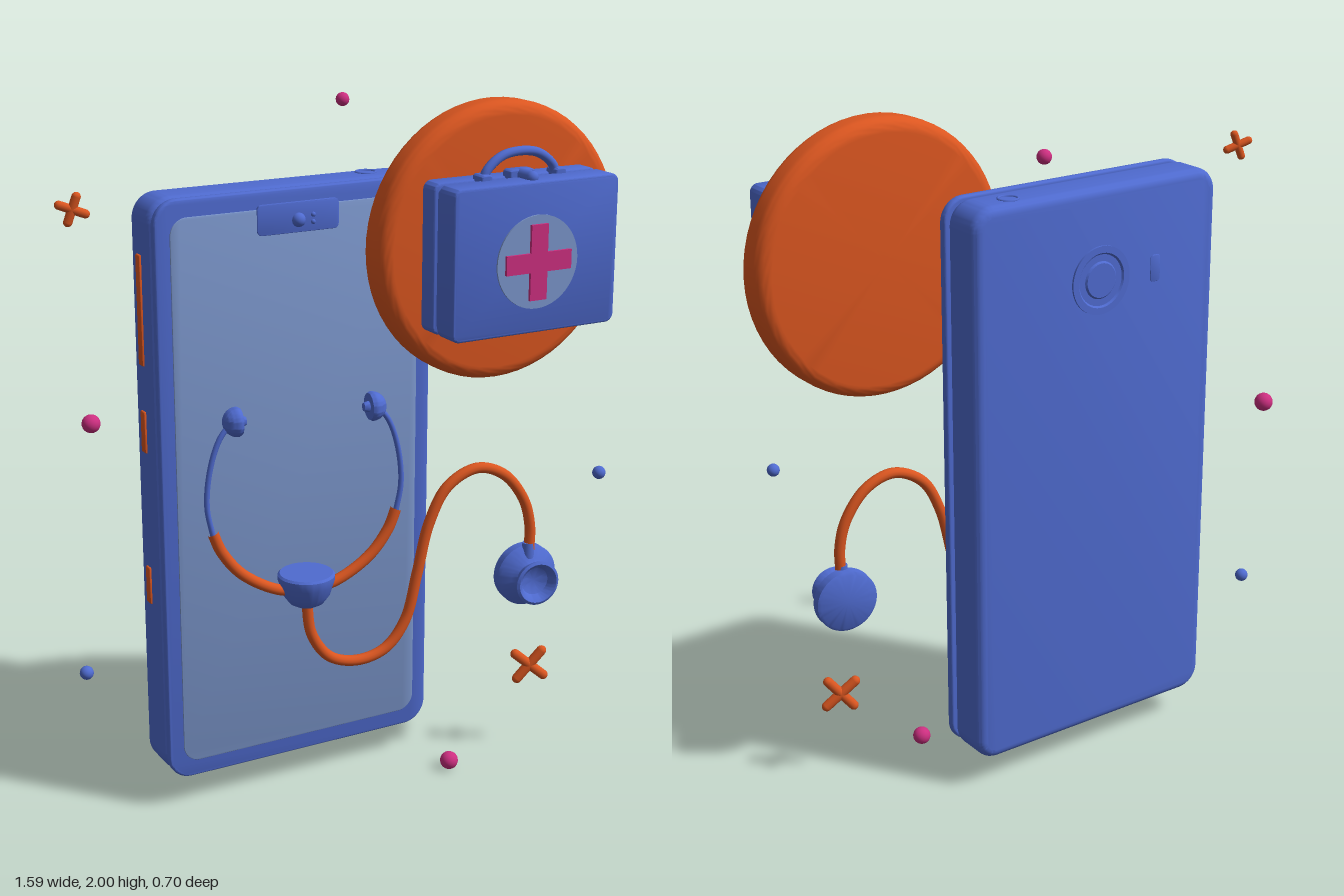
import * as THREE from 'three';
import { toCreasedNormals } from 'three/addons/utils/BufferGeometryUtils.js';

const mat = (color) => new THREE.MeshStandardMaterial({ color });
const blue = mat(0x4f6bd0), pale = mat(0x7b96cb), orange = mat(0xdb5620), pink = mat(0xcc2f80);
const V = (x, y, z = 0) => new THREE.Vector3(x, y, z);

function add(parent, name, geometry, material, x = 0, y = 0, z = 0) {
  const mesh = new THREE.Mesh(geometry, material);
  mesh.name = name;
  mesh.position.set(x, y, z);
  parent.add(mesh);
  return mesh;
}

function group(parent, name, x, y, z, turn = 0) {
  const g = new THREE.Group();
  g.name = name;
  g.position.set(x, y, z);
  g.rotation.y = THREE.MathUtils.degToRad(turn);
  parent.add(g);
  return g;
}

function roundedRect(w, h, r) {
  const s = new THREE.Shape(), a = w / 2 - r, b = h / 2 - r;
  s.absarc(a, b, r, 0, Math.PI / 2);
  s.absarc(-a, b, r, Math.PI / 2, Math.PI);
  s.absarc(-a, -b, r, Math.PI, Math.PI * 1.5);
  s.absarc(a, -b, r, Math.PI * 1.5, Math.PI * 2);
  s.closePath();
  return s;
}

// Rounded slab of full size w x h, from z0 to z1, with rounded front and back edges
function slab(w, h, r, z0, z1, bevel) {
  const geo = new THREE.ExtrudeGeometry(roundedRect(w - 2 * bevel, h - 2 * bevel, r - bevel), {
    depth: z1 - z0 - 2 * bevel, bevelSize: bevel, bevelThickness: bevel,
    bevelSegments: 5, curveSegments: 8,
  });
  return toCreasedNormals(geo.translate(0, 0, z0 + bevel), 0.6);
}

const lathe = (pts) => toCreasedNormals(
  new THREE.LatheGeometry(pts.map(([x, y]) => new THREE.Vector2(x, y)), 64), 0.6);
const tube = (pts, r, n = 64) =>
  new THREE.TubeGeometry(new THREE.CatmullRomCurve3(pts), n, r, 12);

// Points of a quarter-round edge, for lathe profiles
const arc = (cx, cy, r, from, to, n = 8) => Array.from({ length: n + 1 }, (_, i) => {
  const a = from + (to - from) * i / n;
  return [cx + r * Math.cos(a), cy + r * Math.sin(a)];
});

function buildPhone(root) {
  const g = group(root, 'phone', -0.175, 0.935, 0.035, 20);
  add(g, 'phoneBody', slab(0.85, 1.69, 0.07, -0.085, 0.052, 0.028), blue);
  add(g, 'phoneSeam', slab(0.81, 1.65, 0.06, 0.03, 0.07, 0.005), blue);
  add(g, 'phoneFrontFrame', slab(0.85, 1.69, 0.07, 0.06, 0.085, 0.008), blue);
  add(g, 'screen', slab(0.76, 1.59, 0.05, 0.075, 0.088, 0.002), pale);
  // notch with camera and sensors
  add(g, 'notch', slab(0.25, 0.085, 0.015, 0.08, 0.091, 0.002), blue, 0, 0.765);
  add(g, 'frontCamera', new THREE.SphereGeometry(0.02, 20, 14), blue, 0, 0.757, 0.09);
  for (const y of [0.768, 0.748])
    add(g, 'sensor', new THREE.SphereGeometry(0.007, 12, 8), blue, 0.045, y, 0.091);
  // side buttons
  for (const [y, h] of [[1.465, 0.31], [1.12, 0.12], [0.665, 0.11]])
    add(g, 'sideButton', slab(0.012, h, 0.005, -0.014, 0.014, 0.003), orange, -0.425, y - 0.935, -0.02);
  // rear camera and flash
  const cam = add(g, 'rearCamera', lathe([[0, 0], [0.095, 0], [0.1, 0.006], [0.1, 0.012], [0.08, 0.012],
    [0.075, 0.007], [0.055, 0.007], [0.05, 0.012], [0, 0.012]]), blue, 0, 0.58, -0.082);
  cam.rotation.x = -Math.PI / 2;
  add(g, 'flash', slab(0.035, 0.08, 0.01, -0.087, -0.08, 0.002), blue, -0.2, 0.58);
  // top socket and bottom port
  const socket = add(g, 'topSocket', new THREE.TorusGeometry(0.028, 0.004, 8, 32), blue, 0.276, 0.845, -0.03);
  socket.rotation.x = Math.PI / 2;
  const port = add(g, 'bottomPort', new THREE.TorusGeometry(0.018, 0.004, 8, 24), blue, 0, -0.845, -0.015);
  port.rotation.x = Math.PI / 2;
  port.scale.x = 1.8;
}

function buildBadge(root) {
  const g = group(root, 'medicalBadge', 0.415, 1.605, 0.05, 20);
  const disc = add(g, 'badgeDisc', lathe([[0, -0.057], ...arc(0.355, -0.017, 0.04, -Math.PI / 2, 0),
    ...arc(0.355, 0.017, 0.04, 0, Math.PI / 2), [0, 0.057]]), orange);
  disc.rotation.x = Math.PI / 2;

  // first-aid case: two shells and a recessed middle
  const bag = group(g, 'firstAidCase', 0, -0.01, 0);
  add(bag, 'caseBack', slab(0.53, 0.42, 0.025, 0.03, 0.115, 0.008), blue);
  add(bag, 'caseMiddle', slab(0.505, 0.395, 0.02, 0.1, 0.15, 0.005), blue);
  add(bag, 'caseFront', slab(0.53, 0.42, 0.025, 0.135, 0.22, 0.008), blue);
  const plate = add(bag, 'crossPlate', new THREE.CylinderGeometry(0.13, 0.13, 0.008, 48), pale, 0, -0.01, 0.221);
  plate.rotation.x = Math.PI / 2;
  const cross = new THREE.Shape(), a = 0.105, b = 0.027;
  [[b, a], [-b, a], [-b, b], [-a, b], [-a, -b], [-b, -b], [-b, -a], [b, -a], [b, -b], [a, -b], [a, b], [b, b]]
    .forEach(([x, y], i) => (i ? cross.lineTo(x, y) : cross.moveTo(x, y)));
  add(bag, 'cross', new THREE.ExtrudeGeometry(cross, { depth: 0.012, bevelEnabled: false }), pink, 0, -0.01, 0.221);

  // handle and clasps
  add(bag, 'handle', tube([V(-0.12, 0.2, 0.125), V(-0.105, 0.235, 0.125), V(-0.05, 0.272, 0.125),
    V(0.05, 0.272, 0.125), V(0.105, 0.235, 0.125), V(0.12, 0.2, 0.125)], 0.013), blue);
  for (const s of [-1, 1])
    add(bag, 'handleMount', slab(0.035, 0.03, 0.01, 0.1, 0.15, 0.005), blue, s * 0.12, 0.21);
  const clasp = add(bag, 'clasp', new THREE.CapsuleGeometry(0.018, 0.05, 6, 16), blue, 0, 0.215, 0.16);
  clasp.rotation.x = Math.PI / 2;
  add(bag, 'claspBar', slab(0.08, 0.03, 0.01, 0.1, 0.14, 0.005), blue, 0, 0.215);
}

function buildStethoscope(root) {
  const g = group(root, 'stethoscope', -0.14, 0, 0.205, 13);
  add(g, 'hub', lathe([[0, 0.592], [0.03, 0.594], [0.05, 0.605], [0.068, 0.63], [0.077, 0.66],
    [0.082, 0.675], [0.082, 0.688], [0.076, 0.694], [0, 0.694]]), blue);
  for (const s of [-1, 1]) {
    const side = s < 0 ? 'right' : 'left';
    add(g, side + 'EarHose', tube([V(0, 0.645), V(s * 0.08, 0.652), V(s * 0.19, 0.715),
      V(s * 0.25, 0.79), V(s * 0.275, 0.85)], 0.016), orange);
    add(g, side + 'EarTube', tube([V(s * 0.272, 0.83), V(s * 0.29, 0.93), V(s * 0.278, 1.04),
      V(s * 0.25, 1.12), V(s * 0.215, 1.165)], 0.008), blue);
    // dome with its flat face and small tip turned inward
    const ear = add(g, side + 'Earpiece', lathe([[0, -0.02], [0.012, -0.016], [0.015, -0.005], [0.015, 0],
      [0.038, 0], ...arc(0, 0.008, 0.042, 0, Math.PI / 2, 10)]), blue, s * 0.19, 1.165, 0);
    ear.rotation.z = -s * Math.PI / 2;
  }
  // long hose: down from the hub, round and up, over to the chest piece
  const path = [[-0.14, 0.61], [-0.125, 0.5], [-0.07, 0.42], [0.015, 0.395], [0.1, 0.42], [0.16, 0.5],
    [0.195, 0.64], [0.23, 0.79], [0.285, 0.895], [0.375, 0.94], [0.46, 0.91], [0.525, 0.825], [0.548, 0.74], [0.548, 0.66]];
  add(g, 'chestHose', tube(path.map(([x, y]) => V((x + 0.14) / 0.974, y)), 0.016, 120), orange);

  // chest piece: wide diaphragm behind, hollow bell in front
  const cx = 0.703;
  const chest = add(g, 'chestPiece', lathe([[0, -0.04], [0.085, -0.04], [0.094, -0.034], [0.095, -0.005],
    [0.088, 0.005], [0.06, 0.018], [0.048, 0.03], [0.054, 0.048], [0.066, 0.062], [0.068, 0.07],
    [0.06, 0.074], [0.05, 0.066], [0.042, 0.05], [0.025, 0.042], [0, 0.04]]), blue, cx, 0.58, 0);
  chest.rotation.x = Math.PI / 2;
  add(g, 'chestConnector', new THREE.CylinderGeometry(0.017, 0.02, 0.05, 20), blue, cx, 0.66, 0);
}

function buildDecorations(root) {
  for (const [x, y, z, r, m] of [[0.045, 1.95, -0.335, 0.02, pink], [-0.725, 1.09, -0.03, 0.027, pink],
    [0.3, 0.027, 0.13, 0.027, pink], [0.71, 0.945, 0.19, 0.019, blue], [-0.77, 0.415, 0.185, 0.02, blue]])
    add(root, 'floatingBall', new THREE.SphereGeometry(r, 24, 16), m, x, y, z);
  for (const [x, y, z, len, r, tilt] of [[-0.755, 1.78, 0.33, 0.095, 0.012, -20], [0.567, 0.275, 0.02, 0.145, 0.015, -40]]) {
    const g = group(root, 'floatingCross', x, y, z);
    for (const turn of [0, 90])
      add(g, 'crossArm', new THREE.CapsuleGeometry(r, len - 2 * r, 6, 12), orange)
        .rotation.z = THREE.MathUtils.degToRad(tilt + turn);
  }
}

export function createModel() {
  const root = new THREE.Group();
  root.name = 'onlineDoctor';
  buildPhone(root);
  buildBadge(root);
  buildStethoscope(root);
  buildDecorations(root);
  return root;
}
